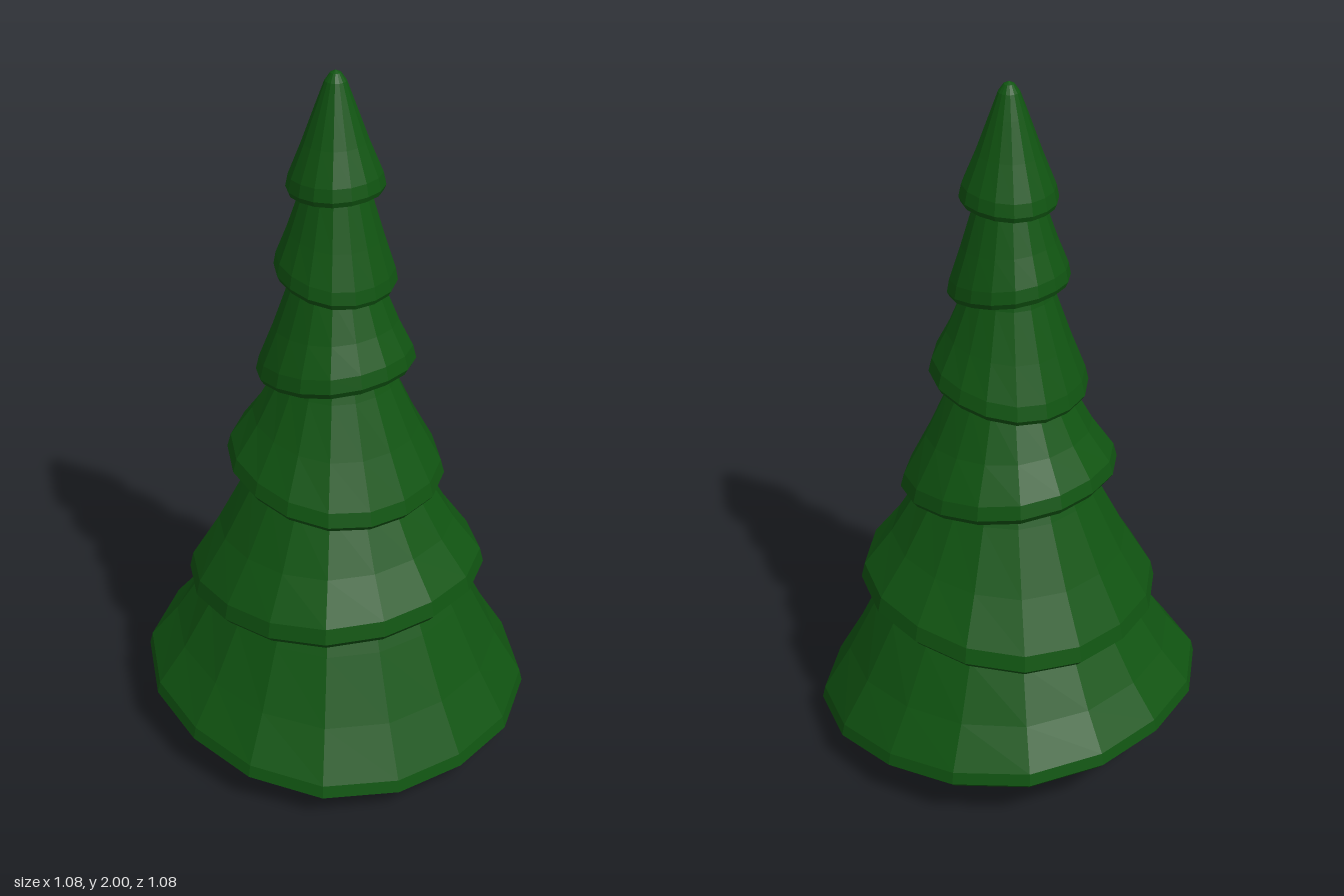
import * as THREE from 'three';

const needles = new THREE.MeshStandardMaterial({ color: 0x105411 });
needles.name = 'needle green';
const bark = new THREE.MeshStandardMaterial({ color: 0x4b2f11 });
bark.name = 'bark brown';

// Faceted normals for every face
function faceted(geometry) {
  const flat = geometry.index ? geometry.toNonIndexed() : geometry;
  flat.computeVertexNormals();
  return flat;
}

// Each tier: rim height, sideways tilt, then [radius, height] from rim to top
const tiers = [
  { y: 0.125, tilt: -0.108, side: [[0.54, 0.125], [0.532, 0.16], [0.455, 0.28], [0.37, 0.44], [0.31, 0.56], [0.24, 0.68]] },
  { y: 0.485, tilt: 0.09, side: [[0.412, 0.485], [0.402, 0.53], [0.325, 0.65], [0.24, 0.81], [0.2, 0.9], [0.16, 0.99]] },
  { y: 0.845, tilt: -0.145, side: [[0.295, 0.845], [0.285, 0.885], [0.225, 0.99], [0.163, 1.12], [0.125, 1.22], [0.1, 1.3]] },
  { y: 1.155, tilt: 0.16, side: [[0.212, 1.155], [0.203, 1.195], [0.165, 1.285], [0.12, 1.41], [0.1, 1.5], [0.08, 1.56]] },
  { y: 1.435, tilt: -0.16, side: [[0.16, 1.435], [0.154, 1.47], [0.125, 1.555], [0.093, 1.66], [0.07, 1.74], [0.05, 1.78]] },
  { y: 1.685, tilt: 0.06, side: [[0.127, 1.685], [0.12, 1.72], [0.085, 1.81], [0.05, 1.91], [0.028, 1.972], [0.014, 1.993], [0, 2]] },
];

// Skirt of branches: turned profile with a hollow underside and a tilted rim
function makeTier({ y, tilt, side }) {
  const r = side[0][0];
  const lip = 0.012 + 0.022 * r;
  const underside = [[0, y + 0.3 * r], [0.62 * r, y + 0.12 * r], [0.88 * r, y], [0.955 * r, y - lip]];
  const profile = [...underside, ...side].map(([a, b]) => new THREE.Vector2(a, b));
  const geometry = new THREE.LatheGeometry(profile, 16);
  const p = geometry.attributes.position;
  const fadeHeight = side[3][1] - y;
  for (let i = 0; i < p.count; i++) {
    const angle = Math.atan2(p.getZ(i), p.getX(i));
    const bulge = 1 + 0.04 * Math.sin(2 * angle) ** 2;
    const x = p.getX(i) * bulge;
    const h = p.getY(i);
    // The tilt is full at the rim and fades out further up
    const fade = THREE.MathUtils.clamp(1.15 - (h - y) / fadeHeight, 0, 1);
    p.setXYZ(i, x, h + tilt * x * fade, p.getZ(i) * bulge);
  }
  return new THREE.Mesh(faceted(geometry), needles);
}

// Square trunk with cut corners, narrowing upward
function makeTrunk() {
  const s = 0.25, c = 0.217;
  const outline = [[s, -c], [s, c], [c, s], [-c, s], [-s, c], [-s, -c], [-c, -s], [c, -s]];
  const shape = new THREE.Shape(outline.map(([a, b]) => new THREE.Vector2(a, b)));
  const geometry = new THREE.ExtrudeGeometry(shape, { depth: 0.28, bevelEnabled: false });
  geometry.rotateX(-Math.PI / 2);
  const p = geometry.attributes.position;
  for (let i = 0; i < p.count; i++) {
    const k = 1 - 1.5 * p.getY(i);
    p.setX(i, p.getX(i) * k);
    p.setZ(i, p.getZ(i) * k);
  }
  return new THREE.Mesh(faceted(geometry), bark);
}

export function createModel() {
  const tree = new THREE.Group();
  tree.name = 'tree';
  const trunk = makeTrunk();
  trunk.name = 'trunk';
  tree.add(trunk);
  tiers.forEach((tier, i) => {
    const mesh = makeTier(tier);
    mesh.name = `branchTier${i + 1}`;
    tree.add(mesh);
  });
  return tree;
}
